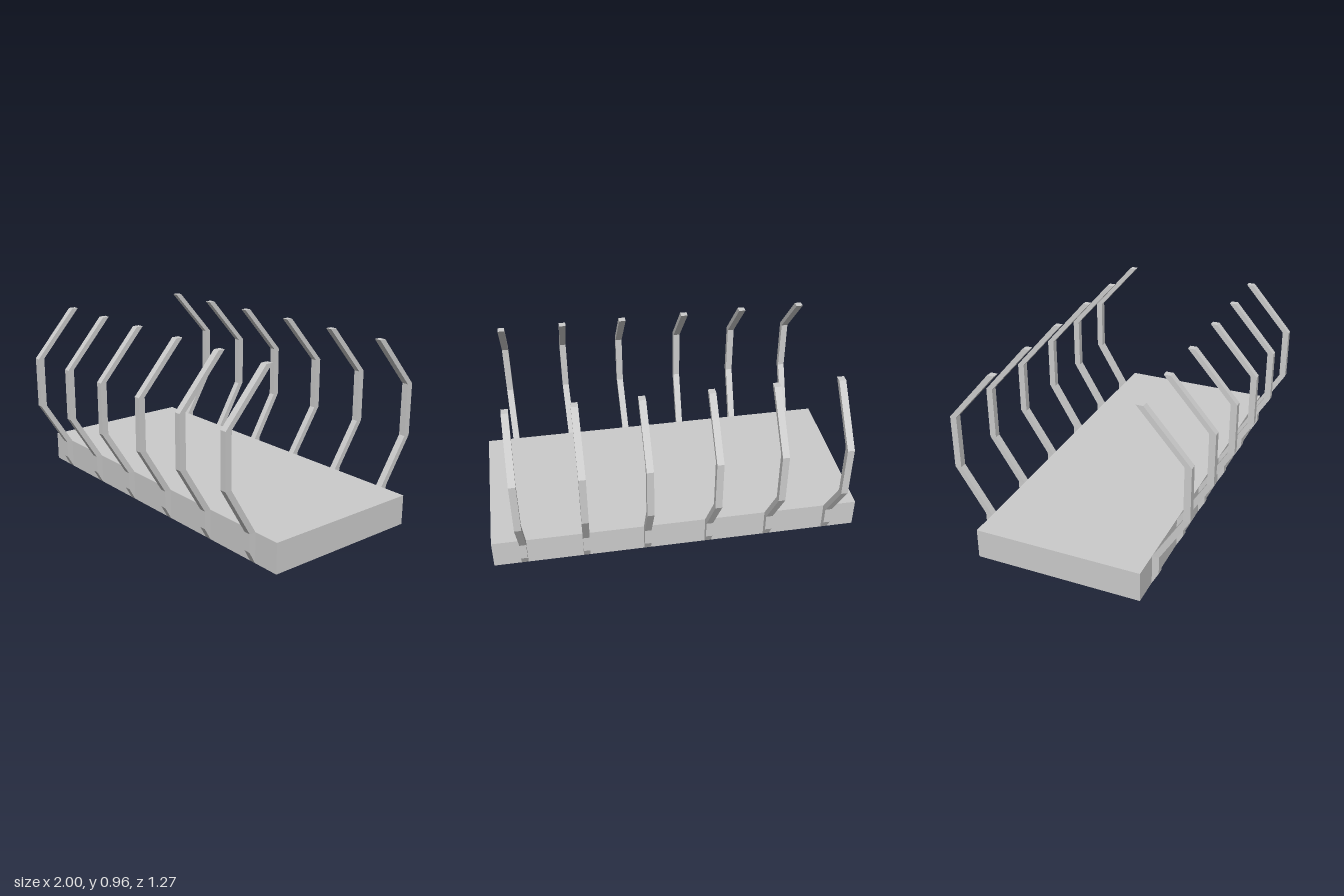
import * as THREE from 'three';

const material = new THREE.MeshStandardMaterial({ color: 0xcccccc, flatShading: true });
const RIB_WIDTH = 0.036;
const BASE_HEIGHT = 0.16;

// Bent rib outline, as [distance outwards, height]
const ribOutline = [
  [0.443, 0], [0.479, 0.065], [0.479, BASE_HEIGHT], [0.633, 0.412], [0.633, 0.696], [0.398, 0.964],
  [0.361, 0.964], [0.598, 0.696], [0.598, 0.412], [0.443, BASE_HEIGHT],
];

// One rib; its foot is set slightly towards the middle of the base
function createRib(x, side) {
  const shape = new THREE.Shape(ribOutline.map(([d, y]) => new THREE.Vector2(d, y)));
  const geometry = new THREE.ExtrudeGeometry(shape, { depth: RIB_WIDTH, bevelEnabled: false });
  geometry.translate(0, 0, -RIB_WIDTH / 2);
  geometry.rotateY(-side * Math.PI / 2);
  const pos = geometry.attributes.position;
  for (let i = 0; i < pos.count; i++) {
    if (pos.getY(i) < BASE_HEIGHT + 0.01) pos.setX(i, pos.getX(i) - Math.sign(x) * 0.007);
  }
  geometry.computeVertexNormals();
  const rib = new THREE.Mesh(geometry, material);
  rib.position.x = x;
  rib.name = side > 0 ? 'frontRib' : 'backRib';
  return rib;
}

export function createModel() {
  const model = new THREE.Group();
  model.name = 'ribbedRack';

  // Flat base slab
  const base = new THREE.Mesh(new THREE.BoxGeometry(2, BASE_HEIGHT, 0.886), material);
  base.position.y = BASE_HEIGHT / 2;
  base.name = 'base';
  model.add(base);

  // Six pairs of ribs along the long sides
  for (const x of [0.175, 0.507, 0.842]) {
    for (const end of [-1, 1]) {
      for (const side of [-1, 1]) model.add(createRib(end * x, side));
    }
  }
  return model;
}
